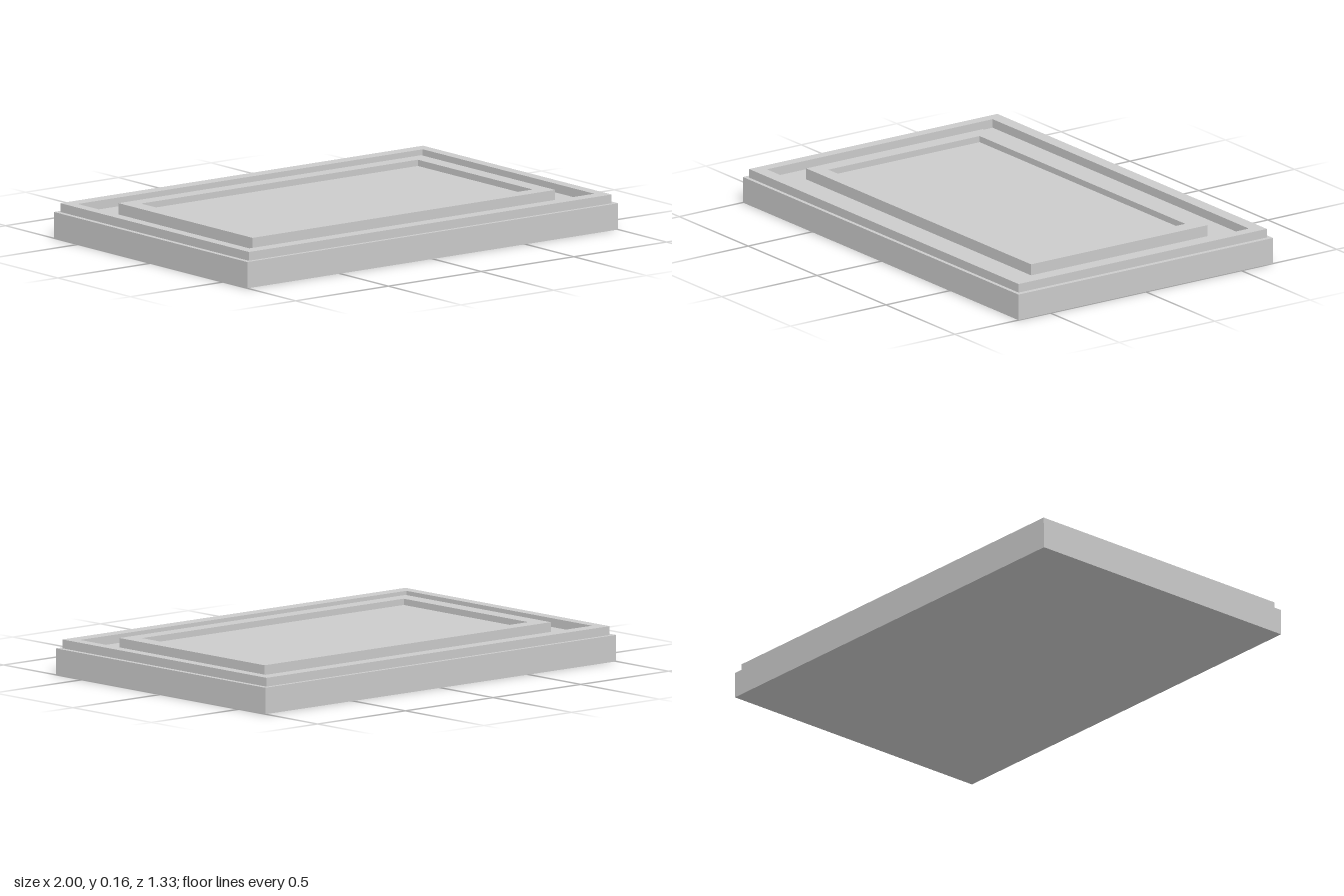
import * as THREE from 'three';

const material = new THREE.MeshStandardMaterial({ color: 0xcccccc, flatShading: true });

// Solid block spanning y0..y1
function block(name, width, depth, y0, y1, z = 0) {
  const mesh = new THREE.Mesh(new THREE.BoxGeometry(width, y1 - y0, depth), material);
  mesh.position.set(0, (y0 + y1) / 2, z);
  mesh.name = name;
  return mesh;
}

function trace(path, width, depth) {
  const x = width / 2, y = depth / 2;
  path.moveTo(-x, -y).lineTo(x, -y).lineTo(x, y).lineTo(-x, y).closePath();
  return path;
}

// Rectangular frame lying flat, spanning y0..y1
function frame(name, outer, inner, y0, y1, z = 0) {
  const shape = trace(new THREE.Shape(), ...outer);
  shape.holes.push(trace(new THREE.Path(), ...inner));
  const geometry = new THREE.ExtrudeGeometry(shape, { depth: y1 - y0, bevelEnabled: false });
  geometry.rotateX(-Math.PI / 2);
  const mesh = new THREE.Mesh(geometry, material);
  mesh.position.set(0, y0, z);
  mesh.name = name;
  return mesh;
}

export function createModel() {
  const model = new THREE.Group();
  model.name = 'framedPanel';
  const baseTop = 0.114;
  const innerZ = 0.006;

  model.add(
    block('base', 2, 1.334, 0, baseTop),
    // raised rim just inside the base edge
    frame('outerFrame', [1.956, 1.3], [1.86, 1.182], baseTop, 0.152),
    // inner moulding with its sunken panel
    frame('innerFrame', [1.632, 0.924], [1.492, 0.792], baseTop, 0.163, innerZ),
    block('panel', 1.492, 0.792, baseTop, 0.136, innerZ)
  );
  return model;
}
